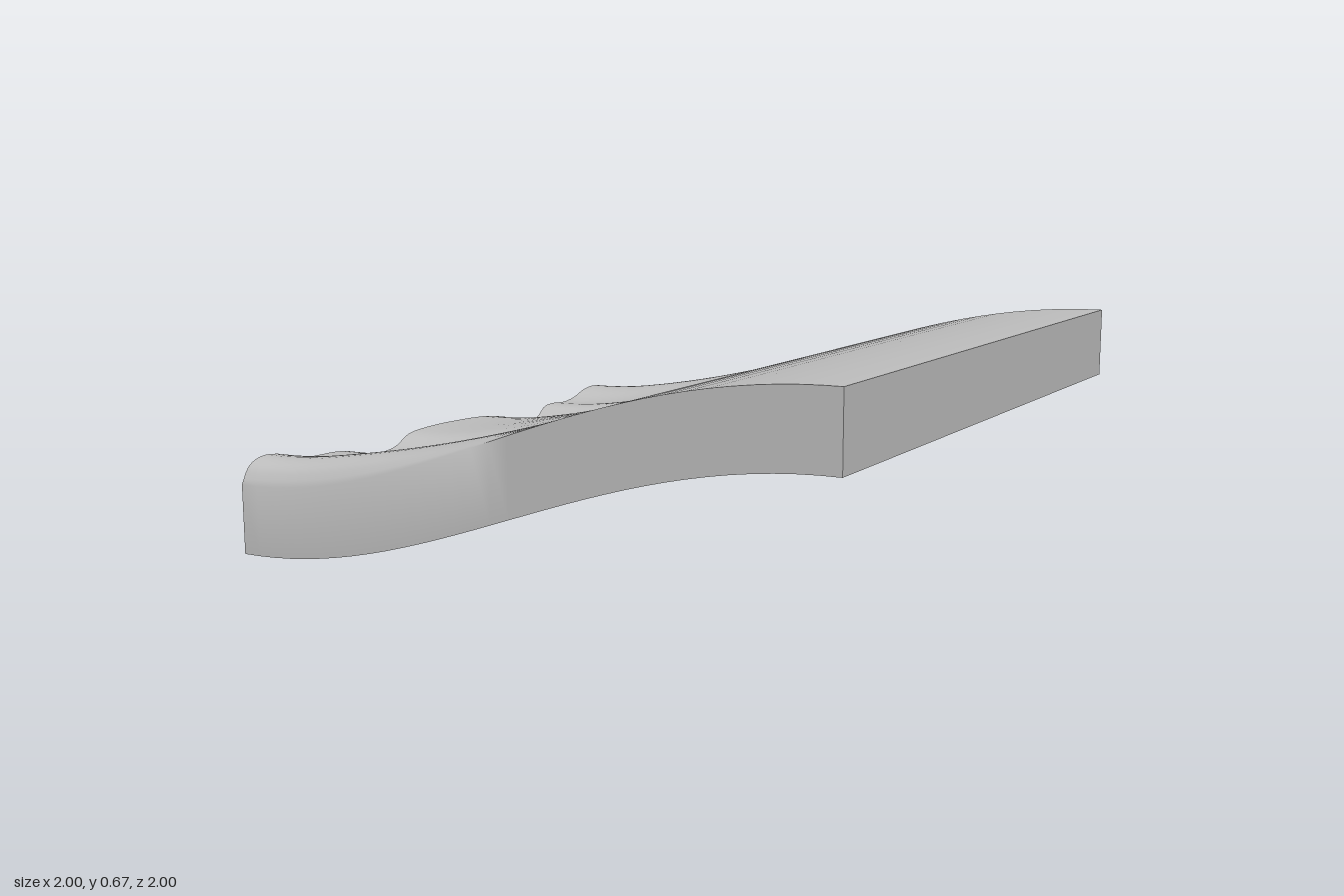
import * as THREE from 'three';
import { toCreasedNormals } from 'three/addons/utils/BufferGeometryUtils.js';

const THICK = 0.22, NX = 32, NZ = 80;

// Height of the rippled end along z, as [z, height]
const ripple = [
  [-1, 0.21], [-0.97, 0.248], [-0.93, 0.265], [-0.87, 0.272], [-0.81, 0.265], [-0.75, 0.245],
  [-0.68, 0.235], [-0.6, 0.24], [-0.55, 0.234], [-0.5, 0.2], [-0.45, 0.194], [-0.38, 0.205],
  [-0.3, 0.23], [-0.2, 0.249], [0, 0.26], [0.15, 0.26], [0.24, 0.25], [0.3, 0.22],
  [0.38, 0.21], [0.46, 0.217], [0.53, 0.24], [0.6, 0.249], [0.7, 0.252], [0.77, 0.264],
  [0.85, 0.285], [0.92, 0.288], [0.97, 0.265], [1, 0.215],
];
const rippleCurve = new THREE.CatmullRomCurve3(ripple.map(([z, h]) => new THREE.Vector3(0, h, z)));

// S-shaped underside, and a top that follows it at constant thickness
const bottomY = (x) => 0.225 * (1 - Math.cos(Math.PI * (x + 1) / 2));
const baseTopY = (x) => {
  const slope = 0.225 * Math.PI / 2 * Math.sin(Math.PI * (x + 1) / 2);
  return bottomY(x) + THICK * Math.sqrt(1 + slope * slope);
};
// Ripples are full at -x and die out just past the middle
const fade = (x) => 1 - THREE.MathUtils.smoothstep(x, -0.75, 0.2);

function slabGeometry() {
  const profile = rippleCurve.getPoints(NZ);
  const ring = 2 * (NZ + 1);
  const positions = [], index = [];
  const quad = (a, b, c, d) => index.push(a, b, c, a, c, d);

  // Cross-sections: across the top, then back along the underside
  for (let i = 0; i <= NX; i++) {
    const x = -1 + 2 * i / NX;
    for (const p of profile) positions.push(x, baseTopY(x) + (p.y - THICK) * fade(x), p.z);
    for (let j = NZ; j >= 0; j--) positions.push(x, bottomY(x), profile[j].z);
  }
  // Top, sides and underside
  for (let i = 0; i < NX; i++) {
    for (let k = 0; k < ring; k++) {
      const n = (k + 1) % ring;
      quad(i * ring + k, i * ring + n, (i + 1) * ring + n, (i + 1) * ring + k);
    }
  }
  // Flat ends
  const end = NX * ring;
  for (let j = 0; j < NZ; j++) {
    const under = ring - 1 - j;
    quad(j, under, under - 1, j + 1);
    quad(end + j, end + j + 1, end + under - 1, end + under);
  }
  const geometry = new THREE.BufferGeometry();
  geometry.setAttribute('position', new THREE.Float32BufferAttribute(positions, 3));
  geometry.setIndex(index);
  return toCreasedNormals(geometry, 1.17);
}

export function createModel() {
  const group = new THREE.Group();
  group.name = 'rippledSlab';
  const stone = new THREE.MeshStandardMaterial({ color: 0xc0c0c0 });
  stone.name = 'lightGrey';
  const slab = new THREE.Mesh(slabGeometry(), stone);
  slab.name = 'slab';
  group.add(slab);
  return group;
}
